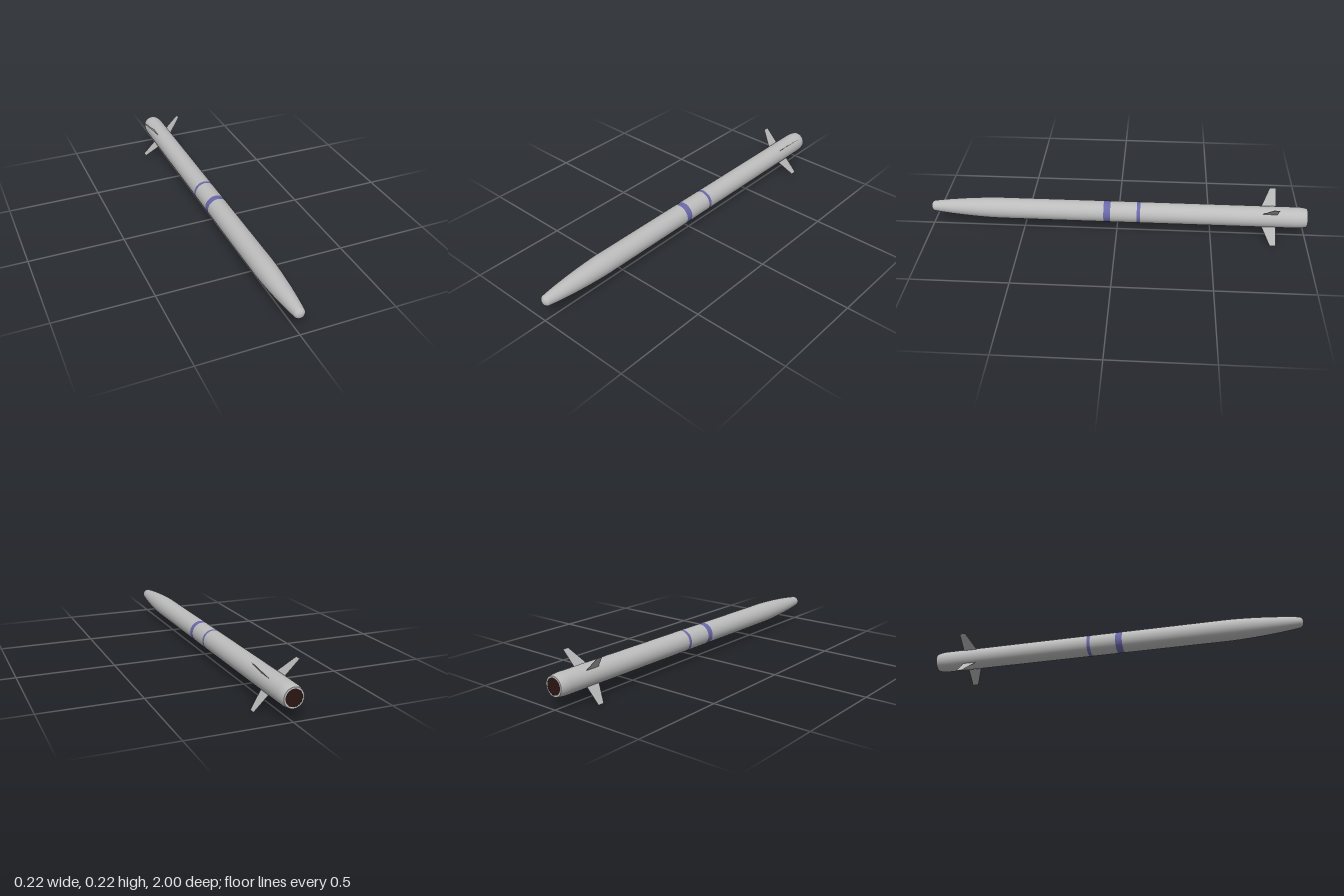
import * as THREE from 'three';

const AXIS_Y = 0.111, R = 0.056;

function mat(name, color, side = THREE.FrontSide) {
  const m = new THREE.MeshStandardMaterial({ color, side });
  m.name = name;
  return m;
}

export function createModel() {
  const model = new THREE.Group();
  model.name = 'missile';
  const grey = mat('body grey', 0xbcbcbc);
  const finGrey = mat('fin grey', 0xb4b4b4);
  const purple = mat('band purple', 0x6a68a8);
  const dark = mat('nozzle dark', 0x2c1614);

  // Surface of revolution about z; profile is [radius, z] with z ascending
  function turned(name, profile, material) {
    const geo = new THREE.LatheGeometry(profile.map(([r, z]) => new THREE.Vector2(r, z)), 48);
    geo.rotateX(Math.PI / 2);
    const mesh = new THREE.Mesh(geo, material);
    mesh.name = name;
    mesh.position.y = AXIS_Y;
    model.add(mesh);
  }

  // Body tube, divided by the painted bands
  turned('tailTaper', [[0.049, -1], [0.053, -0.985], [0.0555, -0.965], [R, -0.95]], grey);
  const cuts = [-0.95, -0.125, -0.107, 0.033, 0.069, 0.62];
  for (let i = 0; i < 5; i++) {
    const band = i % 2 === 1;
    turned(band ? 'band' : 'bodyTube', [[R, cuts[i]], [R, cuts[i + 1]]], band ? purple : grey);
  }

  // Curved nose and rounded seeker tip
  turned('nose', [[R, 0.62], [0.0545, 0.68], [0.051, 0.75], [0.046, 0.82], [0.0395, 0.89],
    [0.034, 0.94], [0.0285, 0.978]], grey);
  const tip = [];
  for (let i = 0; i <= 8; i++) {
    const a = i / 8 * Math.PI / 2;
    tip.push([0.0285 * Math.cos(a), 0.978 + 0.022 * Math.sin(a)]);
  }
  turned('seekerTip', tip, grey);

  // Exhaust opening at the back
  turned('tailRim', [[0.041, -1], [0.049, -1]].reverse(), grey);
  model.getObjectByName('tailRim').material = mat('rim grey', 0xbcbcbc, THREE.DoubleSide);
  const exhaust = new THREE.Mesh(new THREE.CircleGeometry(0.041, 48), dark);
  exhaust.name = 'exhaust';
  exhaust.rotation.y = Math.PI;
  exhaust.position.set(0, AXIS_Y, -0.999);
  model.add(exhaust);

  // Four thin swept fins in an X; shape drawn as (radius, z)
  const shape = new THREE.Shape([[0.05, -0.84], [0.1555, -0.84], [0.1555, -0.808], [0.05, -0.762]]
    .map(([x, y]) => new THREE.Vector2(x, y)));
  const finGeo = new THREE.ExtrudeGeometry(shape, { depth: 0.0015, bevelEnabled: false });
  finGeo.translate(0, 0, -0.00075);
  finGeo.rotateX(Math.PI / 2);
  for (let i = 0; i < 4; i++) {
    const fin = new THREE.Mesh(finGeo, finGrey);
    fin.name = 'fin';
    fin.rotation.z = Math.PI / 4 + i * Math.PI / 2;
    fin.position.y = AXIS_Y;
    model.add(fin);
  }
  return model;
}
